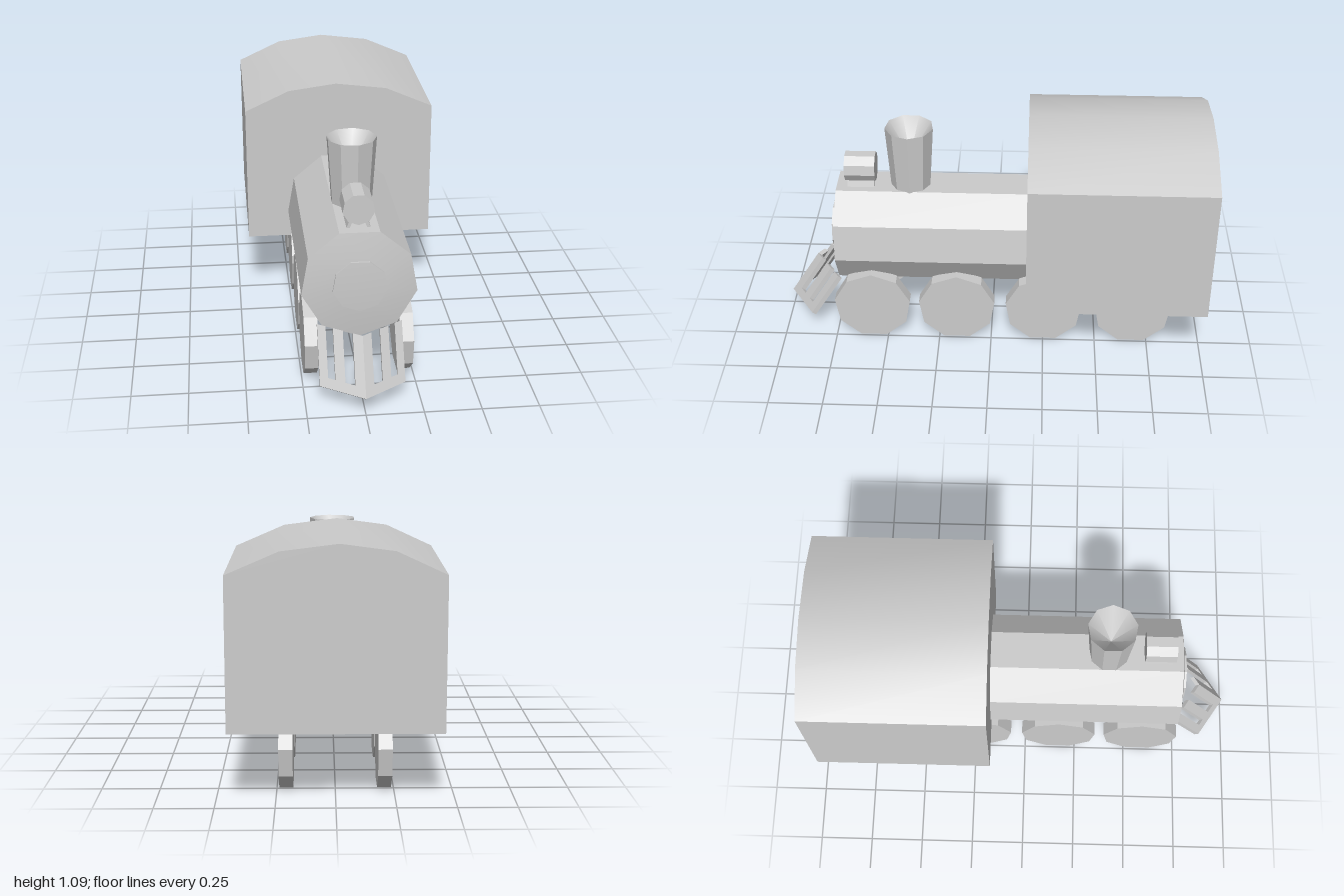
import * as THREE from 'three';
import { toCreasedNormals } from 'three/addons/utils/BufferGeometryUtils.js';

const SIDES = 9;
const material = new THREE.MeshStandardMaterial({ color: 0xcccccc });
const V = (x, y) => new THREE.Vector2(x, y);

function part(name, geometry, crease = 0.45) {
  const mesh = new THREE.Mesh(toCreasedNormals(geometry, crease), material);
  mesh.name = name;
  return mesh;
}

// Turned part lying along z, with a corner at the bottom; profile is [radius, z]
function turned(name, y, profile) {
  const geometry = new THREE.LatheGeometry(profile.map(([r, z]) => V(r, z)), SIDES);
  return part(name, geometry.rotateX(Math.PI / 2).translate(0, y, 0));
}

function cab() {
  const outline = [[-0.447, 0.315], [0.447, 0.315], [0.447, 0.967], [0.225, 1.063],
    [-0.015, 1.093], [-0.24, 1.063], [-0.447, 0.967]];
  const shape = new THREE.Shape(outline.map(([x, y]) => V(x, y)));
  const geometry = new THREE.ExtrudeGeometry(shape, { depth: 0.835, bevelEnabled: false });
  return part('cab', geometry.translate(0, 0, -1));
}

// Flared chimney: outer wall, and a hollow running down to a point
function chimney() {
  const group = new THREE.Group();
  group.name = 'chimney';
  const start = THREE.MathUtils.degToRad(10);
  const wall = new THREE.CylinderGeometry(0.113, 0.092, 0.32, SIDES, 1, true, start);
  const hollow = new THREE.LatheGeometry([V(0.113, 0.16), V(0, 0.0)], SIDES, start);
  group.add(part('chimneyWall', wall), part('chimneyHollow', hollow, 0.9));
  group.position.set(0, 0.87, 0.385);
  return group;
}

// Half of the slatted V-shaped guard: a flat comb, sheared back and outwards
function guardHalf(side) {
  const comb = [[0, 0.08], [0.185, 0.08], [0.185, 0.305], [0.15, 0.305], [0.15, 0.118],
    [0.12, 0.118], [0.12, 0.305], [0.08, 0.305], [0.08, 0.118], [0.04, 0.118],
    [0.04, 0.305], [0, 0.305]];
  const shape = new THREE.Shape(comb.map(([x, y]) => V(side * x, y)));
  const geometry = new THREE.ExtrudeGeometry(shape, { depth: 1, bevelEnabled: false });
  const p = geometry.attributes.position;
  for (let i = 0; i < p.count; i++) {
    const x = p.getX(i), y = p.getY(i), back = 1 - p.getZ(i);
    p.setXYZ(i, x, y - 0.012 * back,
      1 - 0.66 * Math.abs(x) - 0.63 * (y - 0.08) - 0.018 * back);
  }
  return part(side > 0 ? 'guardLeft' : 'guardRight', geometry);
}

export function createModel() {
  const model = new THREE.Group();
  model.name = 'steamLocomotive';

  model.add(cab(), chimney());
  model.add(turned('boiler', 0.49,
    [[0, -0.17], [0.255, -0.17], [0.255, 0.732], [0.12, 0.75], [0, 0.75]]));
  model.add(turned('boilerDoor', 0.49, [[0, 0.74], [0.12, 0.74], [0.12, 0.76], [0, 0.766]]));
  model.add(turned('headlamp', 0.815, [[0, 0.548], [0.07, 0.548], [0.07, 0.69], [0, 0.69]]));

  for (const side of [-1, 1]) {
    model.add(guardHalf(side));

    // Splayed feet under the headlamp
    const foot = part('headlampFoot', new THREE.BoxGeometry(0.014, 0.06, 0.125));
    foot.position.set(side * 0.036, 0.752, 0.618);
    foot.rotation.z = side * 0.35;
    model.add(foot);

    // Four wheels along each side, corner up
    for (const z of [0.57, 0.165, -0.25, -0.675]) {
      const geometry = new THREE.CylinderGeometry(0.183, 0.183, 0.06, SIDES, 1, false, Math.PI / 2);
      const wheel = part('wheel', geometry.rotateZ(Math.PI / 2));
      wheel.position.set(side * 0.21, 0.172, z);
      model.add(wheel);
    }
  }
  return model;
}
